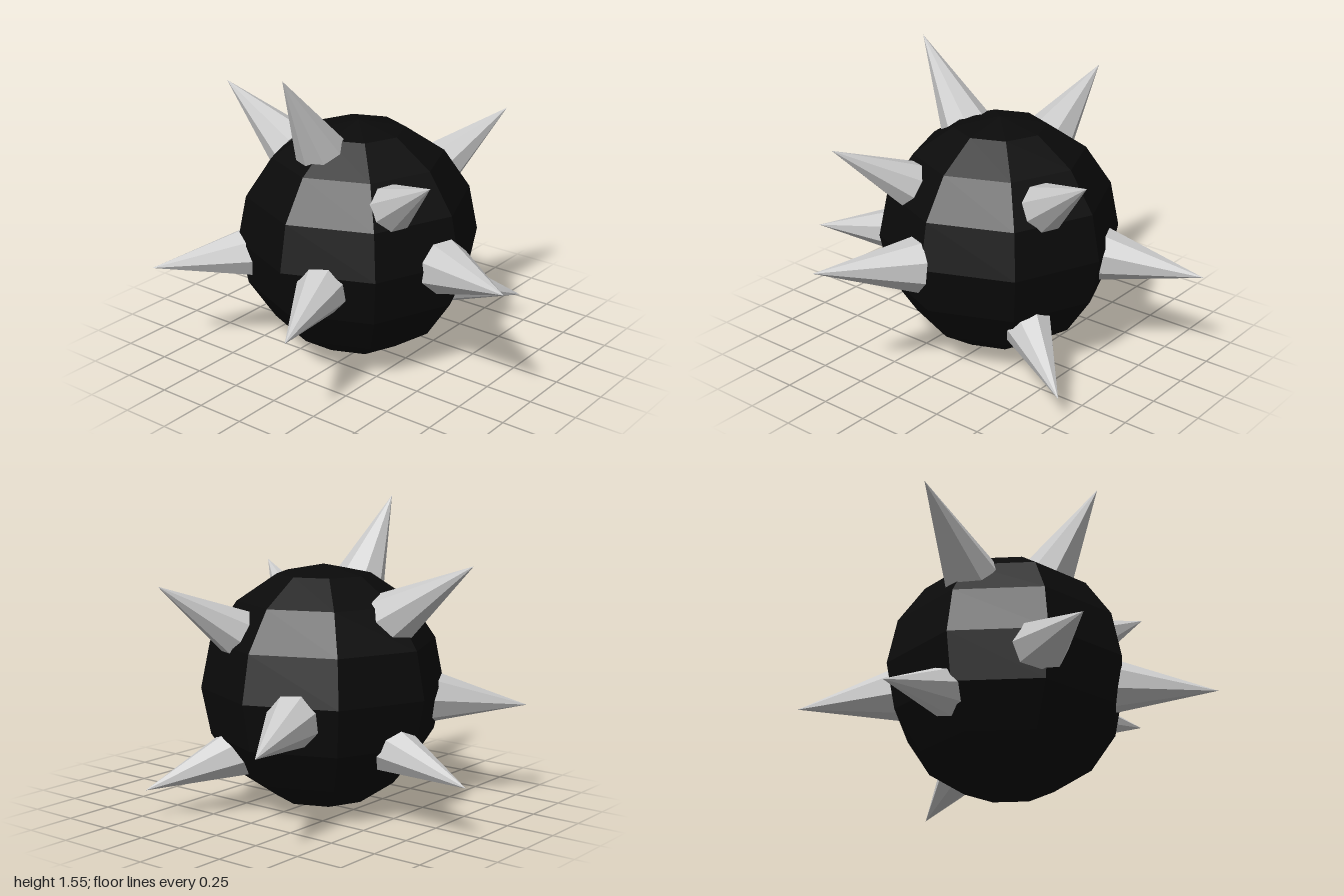
import * as THREE from 'three';

export function createModel() {
  const group = new THREE.Group();
  group.name = 'spikedBall';
  const bodyMaterial = new THREE.MeshStandardMaterial({ color: 0x0a0a0a, flatShading: true });
  const spikeMaterial = new THREE.MeshStandardMaterial({ color: 0xcccccc, flatShading: true });

  // Faceted ball
  const ball = new THREE.Mesh(new THREE.SphereGeometry(0.618, 8, 8), bodyMaterial);
  ball.name = 'ball';
  ball.position.set(0, 0.618, -0.055);
  group.add(ball);

  // Eight-sided spikes: tip, inward direction, length
  const spikes = [
    [[-0.53, 1.55, -0.09], [0.55, -0.835, 0], 0.52],
    [[-0.44, 1.17, 0.69], [0.525, -0.675, -1], 0.48],
    [[0.79, 1.17, 0.32], [-1, -0.675, -0.466], 0.5],
    [[0.98, 0.49, -0.45], [-1, 0.123, 0.378], 0.53],
    [[-0.98, 0.49, 0.28], [1, 0.11, -0.348], 0.53],
    [[-0.75, 0.49, -0.8], [1, 0.16, 0.933], 0.53],
    [[-0.29, 0.68, 1.0], [0.222, -0.065, -0.48], 0.532],
    [[0.76, 0.14, 0.465], [-1, 0.42, -0.68], 0.5],
    [[-0.01, 1.285, -0.93], [0, -0.635, 1], 0.54],
    [[0.13, 0.27, -1.0], [-0.13, 0.23, 1], 0.49],
  ];
  const up = new THREE.Vector3(0, 1, 0);
  for (const [tip, inward, length] of spikes) {
    const direction = new THREE.Vector3(...inward).normalize();
    const spike = new THREE.Mesh(new THREE.ConeGeometry(length * 0.262, length, 8), spikeMaterial);
    spike.name = 'spike';
    spike.position.set(...tip).addScaledVector(direction, length / 2);
    spike.quaternion.setFromUnitVectors(up, direction.negate());
    group.add(spike);
  }
  return group;
}
